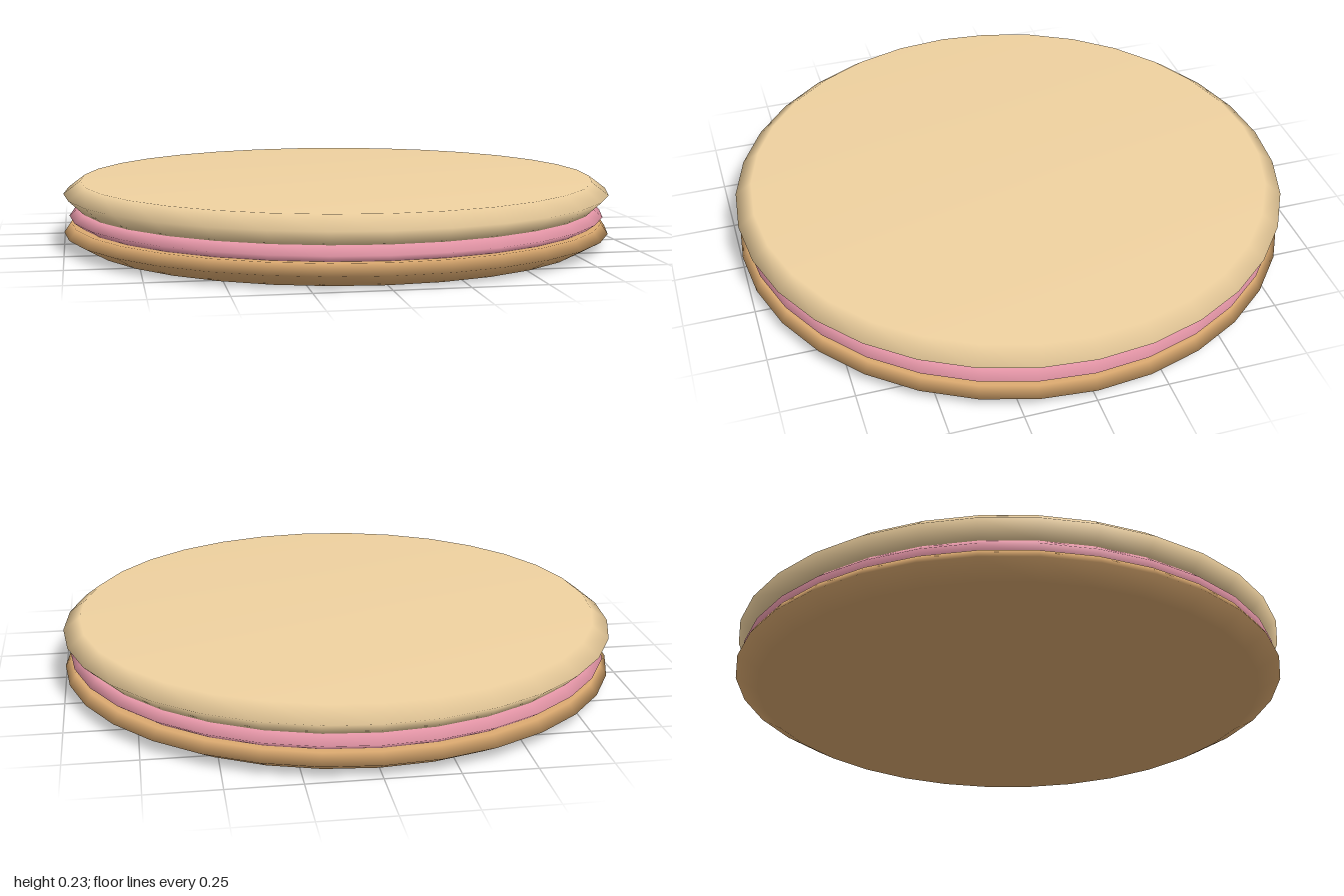
import * as THREE from 'three';

const SIDES = 32;

// A closed round layer, turned from a few [radius, height] points, bottom to top
function layer(name, color, rim) {
  const profile = [[0, rim[0][1]], ...rim, [0, rim[rim.length - 1][1]]];
  const geometry = new THREE.LatheGeometry(profile.map(([r, y]) => new THREE.Vector2(r, y)), SIDES);
  const mesh = new THREE.Mesh(geometry, new THREE.MeshStandardMaterial({ color }));
  mesh.name = name;
  return mesh;
}

export function createModel() {
  const group = new THREE.Group();
  group.name = 'sandwichBiscuit';
  group.add(
    // Darker biscuit underneath
    layer('bottomBiscuit', 0xdcaa70, [[0.92, 0], [1, 0.045], [0.975, 0.082]]),
    // Pink cream filling
    layer('creamFilling', 0xee9cae, [[0.945, 0.08], [0.98, 0.105], [0.945, 0.134]]),
    // Paler biscuit on top
    layer('topBiscuit', 0xf0d2a0, [[0.945, 0.133], [1, 0.185], [0.94, 0.23]])
  );
  return group;
}
